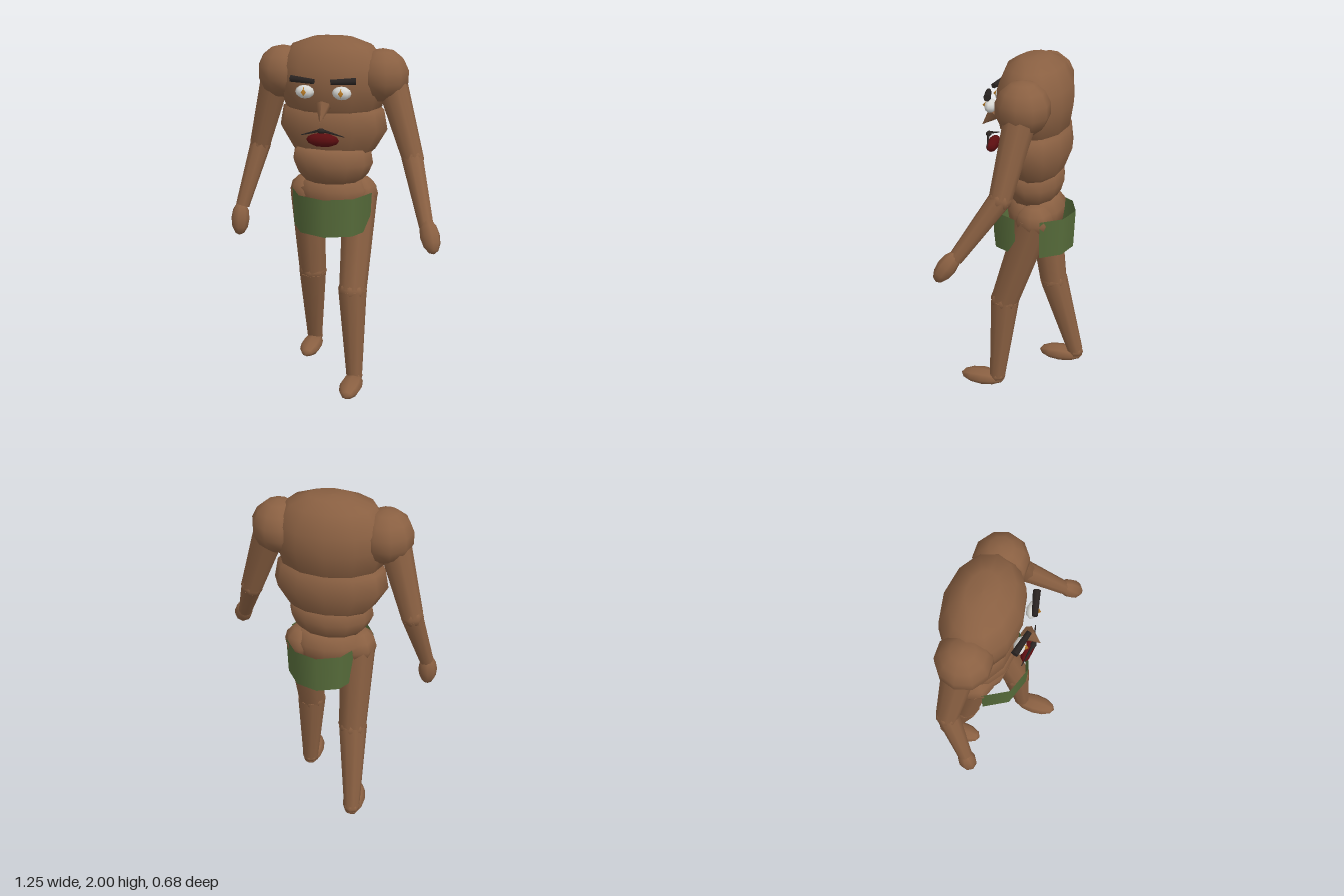
import * as THREE from 'three';

const mat = (name, color, side = THREE.FrontSide) => {
  const m = new THREE.MeshStandardMaterial({ color, side });
  m.name = name;
  return m;
};
const V = (a) => new THREE.Vector3(...a);
const UP = new THREE.Vector3(0, 1, 0);

export function createModel() {
  const skin = mat('brown skin', 0x8a6042);
  const cloth = mat('green cloth', 0x566b3a, THREE.DoubleSide);
  const white = mat('eye white', 0xd8d8d4);
  const amber = mat('amber iris', 0xc08028);
  const hair = mat('dark hair', 0x2a2422);
  const lip = mat('dark red lips', 0x5c0e10);
  const group = new THREE.Group();

  const add = (name, geo, material, pos = [0, 0, 0]) => {
    const m = new THREE.Mesh(geo, material);
    m.name = name;
    m.position.set(...pos);
    group.add(m);
    return m;
  };
  // low-poly ellipsoid, its long axis optionally turned to a direction
  const blob = (name, material, pos, r, dir, seg = 8, rows = 6) => {
    const m = add(name, new THREE.SphereGeometry(1, seg, rows), material, pos);
    m.scale.set(...r);
    if (dir) m.quaternion.setFromUnitVectors(UP, V(dir).normalize());
    return m;
  };
  // tapered cylinder from a to b
  const limb = (name, material, a, b, ra, rb, seg = 9) => {
    const p = V(a), d = V(b).sub(p);
    const m = add(name, new THREE.CylinderGeometry(rb, ra, d.length(), seg), material);
    m.position.copy(p).addScaledVector(d, 0.5);
    m.quaternion.setFromUnitVectors(UP, d.normalize());
    return m;
  };
  // flattened turned block of the trunk, profile runs from bottom to top
  const block = (name, profile, x, z, flat) => {
    const geo = new THREE.LatheGeometry(profile.map((p) => new THREE.Vector2(...p)), 12);
    add(name, geo, skin, [x, 0, z]).scale.z = flat;
  };

  // trunk
  block('upperTorso', [[0, 1.56], [0.2, 1.58], [0.275, 1.63], [0.303, 1.75], [0.295, 1.85],
    [0.225, 1.955], [0.115, 1.995], [0, 2]], -0.035, -0.07, 0.67);
  block('middleTorso', [[0, 1.33], [0.2, 1.35], [0.24, 1.39], [0.305, 1.5], [0.285, 1.61],
    [0.2, 1.65], [0, 1.66]], -0.035, -0.08, 0.63);
  block('belly', [[0, 1.17], [0.16, 1.2], [0.205, 1.25], [0.23, 1.31], [0.215, 1.4], [0, 1.43]],
    -0.035, -0.065, 0.73);
  block('pelvis', [[0, 0.95], [0.12, 0.98], [0.2, 1.08], [0.215, 1.16], [0.16, 1.22], [0, 1.23]],
    -0.03, -0.08, 0.75);

  // arms: joints given for each side
  const arms = {
    left: { ball: [0.24, 1.8, -0.07], top: [0.29, 1.76, -0.07], elbow: [0.425, 1.37, 0.0],
      wrist: [0.54, 1.06, 0.21], hand: [0.565, 1.02, 0.25], dir: [0.06, -0.15, 0.1] },
    right: { ball: [-0.315, 1.8, -0.07], top: [-0.36, 1.76, -0.08], elbow: [-0.475, 1.37, -0.12],
      wrist: [-0.56, 1.02, -0.01], hand: [-0.57, 0.945, 0.005], dir: [-0.01, -0.2, 0.03] },
  };
  for (const [side, a] of Object.entries(arms)) {
    blob(side + 'Shoulder', skin, a.ball, [0.145, 0.145, 0.145], null, 10, 7);
    limb(side + 'UpperArm', skin, a.top, a.elbow, 0.085, 0.06);
    blob(side + 'Elbow', skin, a.elbow, [0.063, 0.063, 0.063]);
    limb(side + 'Forearm', skin, a.elbow, a.wrist, 0.06, 0.04);
    blob(side + 'Hand', skin, a.hand, [0.05, 0.1, 0.055], a.dir);
  }

  // legs: mid-stride
  const legs = {
    left: { hip: [0.115, 1.12, -0.1], knee: [0.112, 0.59, 0.07], ankle: [0.135, 0.07, 0.115],
      foot: [0.135, 0.046, 0.205] },
    right: { hip: [-0.185, 1.12, -0.08], knee: [-0.178, 0.6, -0.15], ankle: [-0.205, 0.09, -0.29],
      foot: [-0.205, 0.065, -0.2] },
  };
  for (const [side, l] of Object.entries(legs)) {
    blob(side + 'Hip', skin, l.hip, [0.105, 0.1, 0.11]);
    limb(side + 'Thigh', skin, l.hip, l.knee, 0.1, 0.08);
    blob(side + 'Knee', skin, l.knee, [0.085, 0.07, 0.085]);
    limb(side + 'Shin', skin, l.knee, l.ankle, 0.083, 0.047);
    blob(side + 'Ankle', skin, l.ankle, [0.05, 0.04, 0.05]);
    blob(side + 'Foot', skin, l.foot, [0.065, 0.135, 0.046], [0, 0, 1]);
  }

  // loincloth: two curved flaps, open over the hips
  const flap = (name, mid, half, x, z, rx, rz) => {
    const geo = new THREE.CylinderGeometry(1, 0.96, 0.22, 4, 1, true, mid - half, half * 2);
    add(name, geo, cloth, [x, 1.04, z]).scale.set(rx, 1, rz);
  };
  flap('frontFlap', 0, 1.45, -0.03, -0.04, 0.232, 0.22);
  flap('backFlap', Math.PI, 1.25, 0, -0.08, 0.21, 0.228);

  // face, mirrored about its own centre line
  const cx = -0.035;
  for (const [side, s] of [['left', 1], ['right', -1]]) {
    blob(side + 'Eye', white, [cx + s * 0.1, 1.737, 0.152], [0.052, 0.036, 0.032]);
    blob(side + 'Iris', amber, [cx + s * 0.1, 1.738, 0.172], [0.022, 0.028, 0.024], null, 4, 2);
    limb(side + 'Eyebrow', hair, [cx + s * 0.045, 1.798, 0.178], [cx + s * 0.175, 1.803, 0.147], 0.015, 0.02, 6);
    limb(side + 'Moustache', hair, [cx, 1.545, 0.195], [cx + s * 0.118, 1.507, 0.17], 0.009, 0.002, 5);
  }
  blob('moustacheCentre', hair, [cx, 1.54, 0.195], [0.024, 0.014, 0.016]);
  limb('nose', skin, [cx, 1.668, 0.155], [cx, 1.592, 0.23], 0.042, 0.001, 6);
  blob('lips', lip, [cx, 1.485, 0.17], [0.09, 0.038, 0.032]);

  return group;
}
